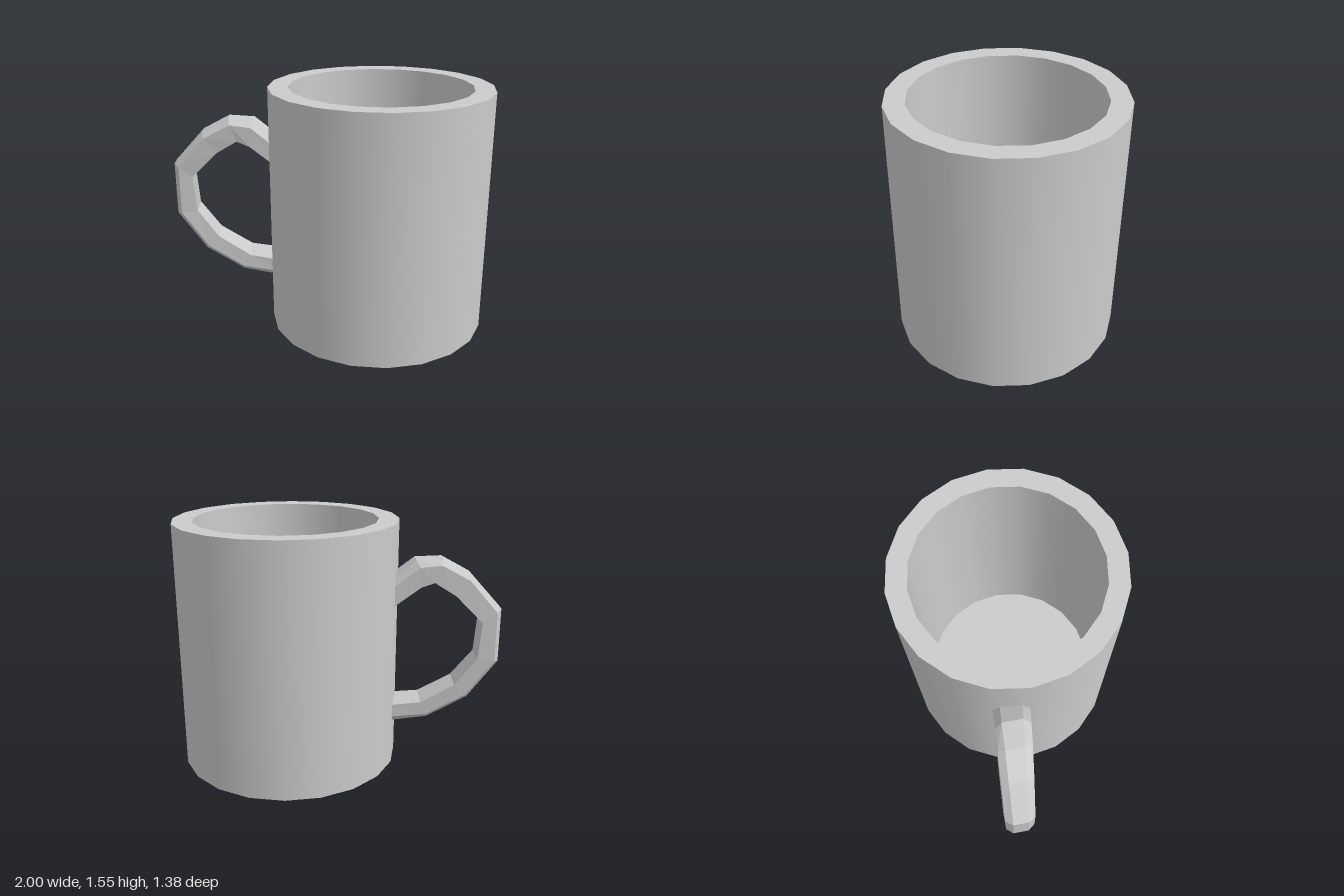
import * as THREE from 'three';
import { mergeGeometries } from 'three/addons/utils/BufferGeometryUtils.js';

const CENTRE_X = 0.305, HEIGHT = 1.55, OUTER_R = 0.692, INNER_R = 0.567, FLOOR = 0.12, SIDES = 20;

// Cup: each straight run of the profile is its own lathe, so walls are smooth and rims sharp
function cupGeometry() {
  const profile = [
    [0, 0], [OUTER_R, 0], [OUTER_R, HEIGHT], [INNER_R, HEIGHT], [INNER_R, FLOOR], [0, FLOOR],
  ].map(([r, y]) => new THREE.Vector2(r, y));
  const runs = [];
  for (let i = 0; i < profile.length - 1; i++) {
    runs.push(new THREE.LatheGeometry([profile[i], profile[i + 1]], SIDES));
  }
  return mergeGeometries(runs);
}

// Handle: bevelled six-sided sections swept from the upper joint to the lower one
function handleGeometry() {
  // Each row: outer face, bevel shoulder, inner face, as x, y pairs
  const rows = [
    [-0.30, 1.18, -0.30, 1.13, -0.30, 1.01],
    [-0.48, 1.325, -0.50, 1.29, -0.51, 1.17],
    [-0.64, 1.335, -0.63, 1.305, -0.59, 1.20],
    [-0.81, 1.245, -0.80, 1.215, -0.72, 1.12],
    [-1.00, 1.035, -0.97, 1.02, -0.885, 0.955],
    [-1.00, 0.70, -0.97, 0.71, -0.867, 0.725],
    [-0.82, 0.455, -0.80, 0.48, -0.735, 0.55],
    [-0.575, 0.312, -0.57, 0.345, -0.53, 0.425],
    [-0.30, 0.27, -0.30, 0.315, -0.30, 0.395],
  ];
  const positions = [], index = [];
  for (const [ox, oy, sx, sy, ix, iy] of rows) {
    // The handle leans backward and narrows away from the cup
    const t = (-0.4 - sx) / 0.6;
    const z = -0.11 - 0.06 * t;
    const half = 0.107 - 0.021 * t;
    const face = 0.065 - 0.02 * t;
    positions.push(
      ox, oy, z + face, ox, oy, z - face,
      sx, sy, z - half, ix, iy, z - half,
      ix, iy, z + half, sx, sy, z + half,
    );
  }
  for (let i = 0; i < rows.length - 1; i++) {
    for (let k = 0; k < 6; k++) {
      const a = i * 6 + k, b = i * 6 + (k + 1) % 6;
      index.push(a, b, b + 6, a, b + 6, a + 6);
    }
  }
  const geometry = new THREE.BufferGeometry();
  geometry.setAttribute('position', new THREE.Float32BufferAttribute(positions, 3));
  geometry.setIndex(index);
  geometry.computeVertexNormals();
  return geometry;
}

export function createModel() {
  const group = new THREE.Group();
  group.name = 'mug';

  const cup = new THREE.Mesh(cupGeometry(), new THREE.MeshStandardMaterial({ color: 0xcccccc }));
  cup.name = 'cup';
  cup.position.x = CENTRE_X;

  const handle = new THREE.Mesh(
    handleGeometry(),
    new THREE.MeshStandardMaterial({ color: 0xcccccc, flatShading: true }),
  );
  handle.name = 'handle';

  group.add(cup, handle);
  return group;
}
